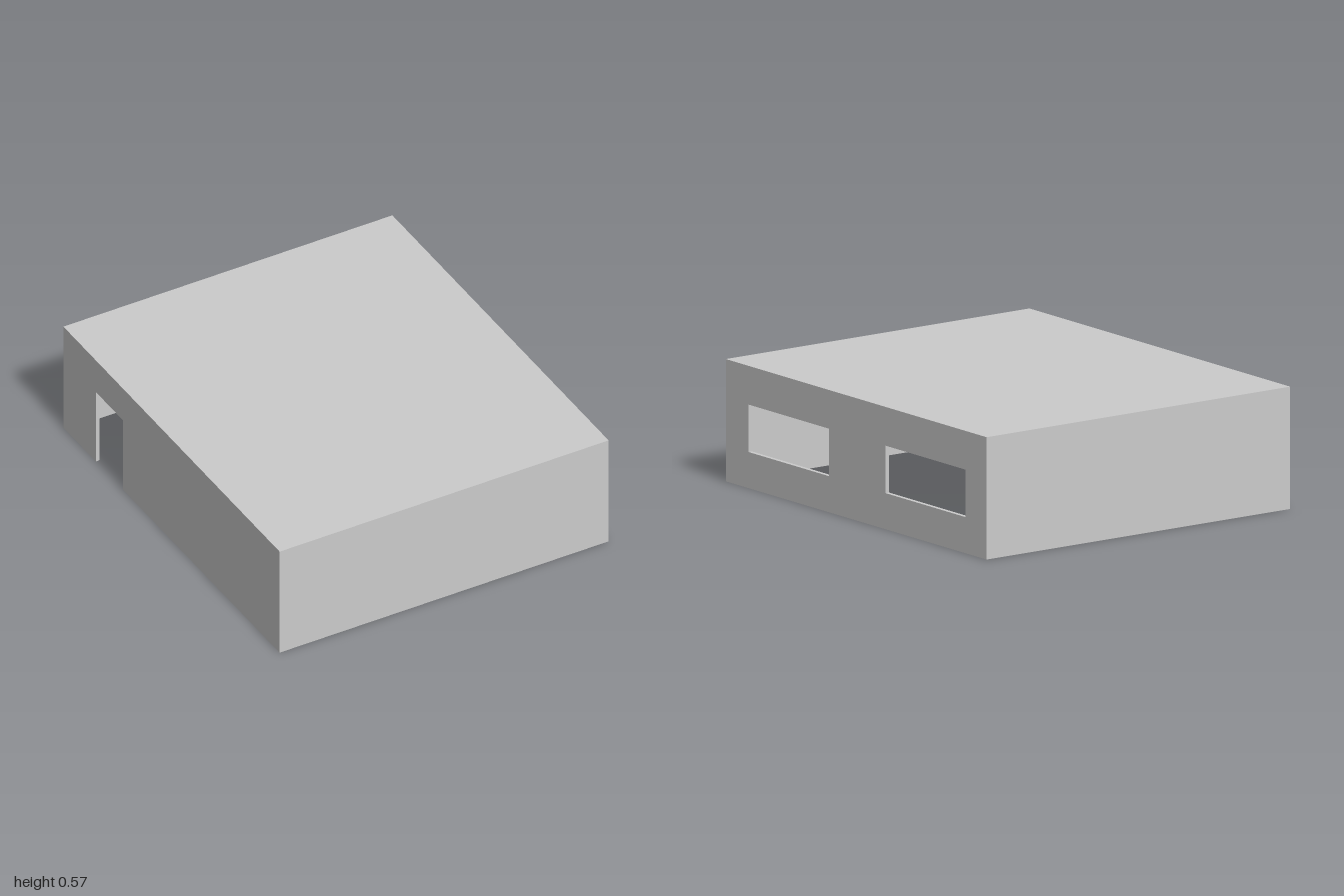
import * as THREE from 'three';

const W = 1.735, D = 2, WALL_H = 0.5, ROOF_H = 0.075, T = 0.02;

export function createModel() {
  const group = new THREE.Group();
  const material = new THREE.MeshStandardMaterial({ color: 0xcccccc });

  const add = (name, geometry, x, y, z) => {
    const mesh = new THREE.Mesh(geometry, material);
    mesh.name = name;
    mesh.position.set(x, y, z);
    group.add(mesh);
  };
  const polygon = (Type, points) => new Type(points.map(([u, v]) => new THREE.Vector2(u, v)));

  // Side wall drawn as (-z, y), then thickened along +x
  const sideWall = (shape) =>
    new THREE.ExtrudeGeometry(shape, { depth: T, bevelEnabled: false }).rotateY(Math.PI / 2);

  // Flat roof slab, flush with the walls
  add('roof', new THREE.BoxGeometry(W, ROOF_H, D), 0, WALL_H + ROOF_H / 2, 0);

  // Front and back walls, fitted between the side walls
  for (const [name, s] of [['frontWall', 1], ['backWall', -1]]) {
    add(name, new THREE.BoxGeometry(W - 2 * T, WALL_H, T), 0, WALL_H / 2, s * (D - T) / 2);
  }

  // Left wall with two window openings
  const left = polygon(THREE.Shape, [[-1, 0], [1, 0], [1, WALL_H], [-1, WALL_H]]);
  for (const [a, b] of [[-0.825, -0.21], [0.225, 0.84]]) {
    left.holes.push(polygon(THREE.Path, [[a, 0.17], [a, 0.393], [b, 0.393], [b, 0.17]]));
  }
  add('windowWall', sideWall(left), W / 2 - T, 0, 0);

  // Right wall with a doorway cut up from the floor
  const right = polygon(THREE.Shape, [
    [-1, 0], [0.45, 0], [0.45, 0.395], [0.7, 0.395], [0.7, 0], [1, 0], [1, WALL_H], [-1, WALL_H],
  ]);
  add('doorWall', sideWall(right), -W / 2, 0, 0);

  return group;
}
